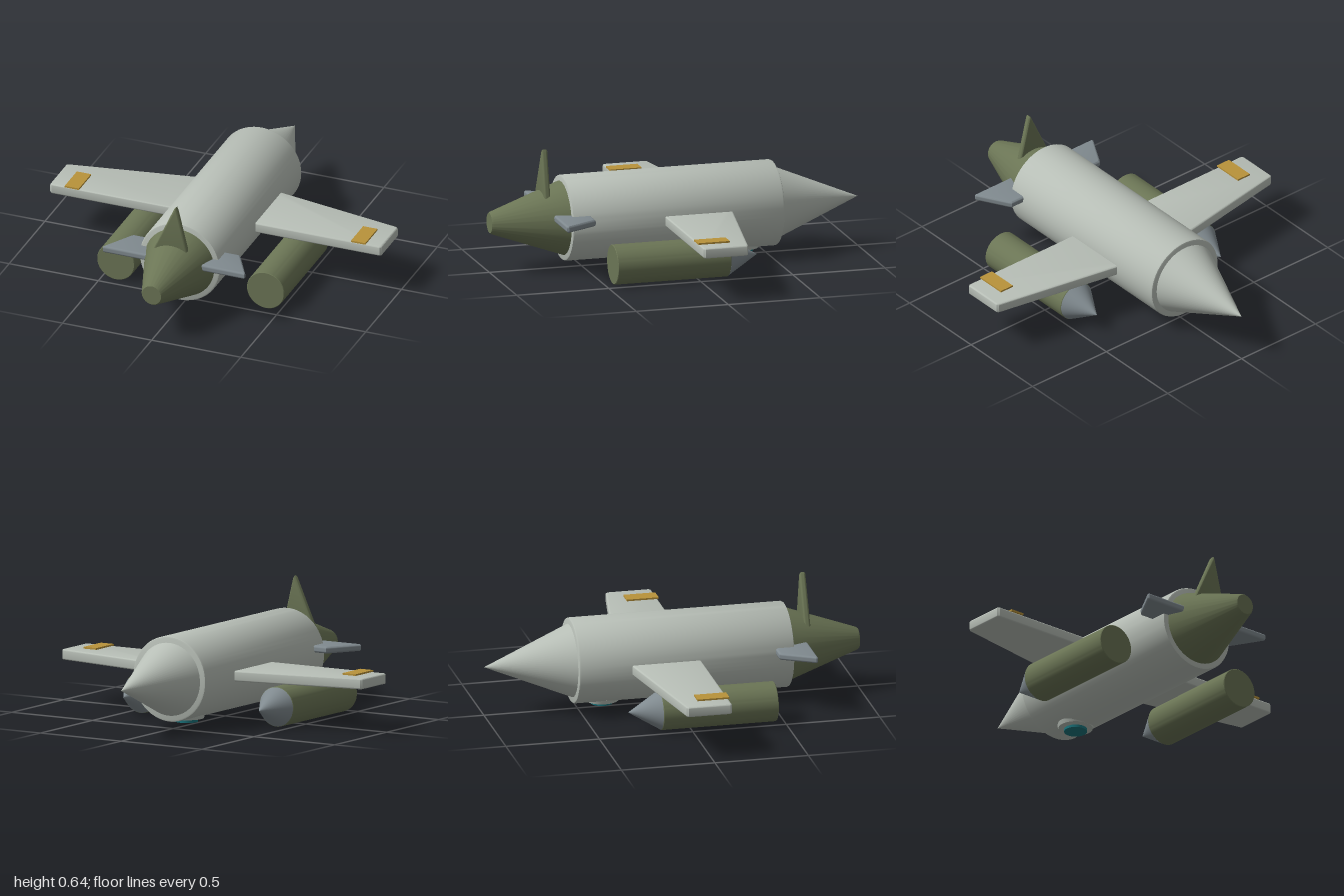
import * as THREE from 'three';
import { toCreasedNormals } from 'three/addons/utils/BufferGeometryUtils.js';

const mat = (name, color) => {
  const m = new THREE.MeshStandardMaterial({ color });
  m.name = name;
  return m;
};

// Solid of revolution along z from [radius, z] pairs, z increasing
function spun(profile) {
  const g = new THREE.LatheGeometry(profile.map(([r, z]) => new THREE.Vector2(r, z)), 64);
  g.rotateX(Math.PI / 2);
  return toCreasedNormals(g, 0.5);
}

// Plate with softened edges; the outline lies in the xy plane and the thickness runs along z
function plate(points, thickness, bevel) {
  const shape = new THREE.Shape(points.map(([x, y]) => new THREE.Vector2(x, y)));
  const g = new THREE.ExtrudeGeometry(shape, {
    depth: thickness - 2 * bevel, bevelEnabled: true, bevelThickness: bevel,
    bevelSize: bevel, bevelOffset: -bevel, bevelSegments: 3,
  });
  g.translate(0, 0, bevel - thickness / 2);
  return toCreasedNormals(g, 0.6);
}

// Horizontal plate with its outline given as [x, z]
const flatPlate = (points, thickness, bevel) => plate(points, thickness, bevel).rotateX(Math.PI / 2);

export function createModel() {
  const model = new THREE.Group();
  model.name = 'aircraft';
  const paleGrey = mat('pale grey', 0xb7beb6);
  const olive = mat('olive', 0x6b7555);
  const steel = mat('steel grey', 0x808a8f);
  const gold = mat('gold', 0xb9933a);
  const teal = mat('teal', 0x1b747c);

  const add = (name, geometry, material, x = 0, y = 0, z = 0) => {
    const mesh = new THREE.Mesh(geometry, material);
    mesh.name = name;
    mesh.position.set(x, y, z);
    model.add(mesh);
    return mesh;
  };

  // Body: barrel, pointed cone at the rear of the frame, blunt cone at the front
  const axis = 0.265;
  add('fuselage', spun([[0, -0.54], [0.215, -0.54], [0.222, -0.537], [0.225, -0.53],
    [0.225, 0.6], [0.222, 0.607], [0.215, 0.61], [0, 0.61]]), paleGrey, 0, axis);
  add('noseCone', spun([[0, -1], [0.192, -0.54], [0, -0.53]]), paleGrey, 0, axis);
  add('tailCone', spun([[0, 0.6], [0.198, 0.6], [0.06, 0.99], [0.053, 1], [0, 1]]), olive, 0, axis);

  // Upright fin
  add('fin', plate([[-0.106, 0.375], [0.092, 0.375], [0.03, 0.63], [0.022, 0.645], [0.012, 0.635]],
    0.034, 0.012), olive, 0, 0, 0.708);

  // Paired parts
  for (const s of [1, -1]) {
    const side = s > 0 ? 'left' : 'right';
    const mirror = (points) => points.map(([x, z]) => [s * x, z]);

    add(side + 'Wing', flatPlate(mirror([[0.1, -0.28], [0.22, -0.258], [0.92, -0.132], [0.93, -0.122],
      [0.93, 0.1], [0.92, 0.11], [0.1, 0.11]]), 0.055, 0.008), paleGrey, 0, 0.2625);

    add(side + 'WingPanel', new THREE.BoxGeometry(0.08, 0.009, 0.17), gold, s * 0.803, 0.2945, 0.03);

    add(side + 'Stabilizer', flatPlate(mirror([[0.12, 0.51], [0.297, 0.51], [0.308, 0.522],
      [0.4, 0.685], [0.395, 0.695], [0.12, 0.695]]), 0.037, 0.012), steel, 0, 0.303);

    add(side + 'Pod', spun([[0, -0.16], [0.102, -0.16], [0.105, -0.157],
      [0.105, 0.452], [0.102, 0.455], [0, 0.455]]), olive, s * 0.42, 0.105);
    add(side + 'PodNose', spun([[0, -0.328], [0.103, -0.16], [0, -0.155]]), steel, s * 0.42, 0.105);
  }

  // Belly sensor: mounting plate, stem and lens
  const bellyZ = -0.37;
  add('sensorMount', new THREE.CylinderGeometry(0.097, 0.09, 0.022, 48), paleGrey, 0, 0.051, bellyZ);
  add('sensorStem', new THREE.CylinderGeometry(0.03, 0.03, 0.02, 32), teal, 0, 0.038, bellyZ);
  add('sensorLens', new THREE.CylinderGeometry(0.06, 0.06, 0.014, 48), teal, 0, 0.028, bellyZ);

  return model;
}
